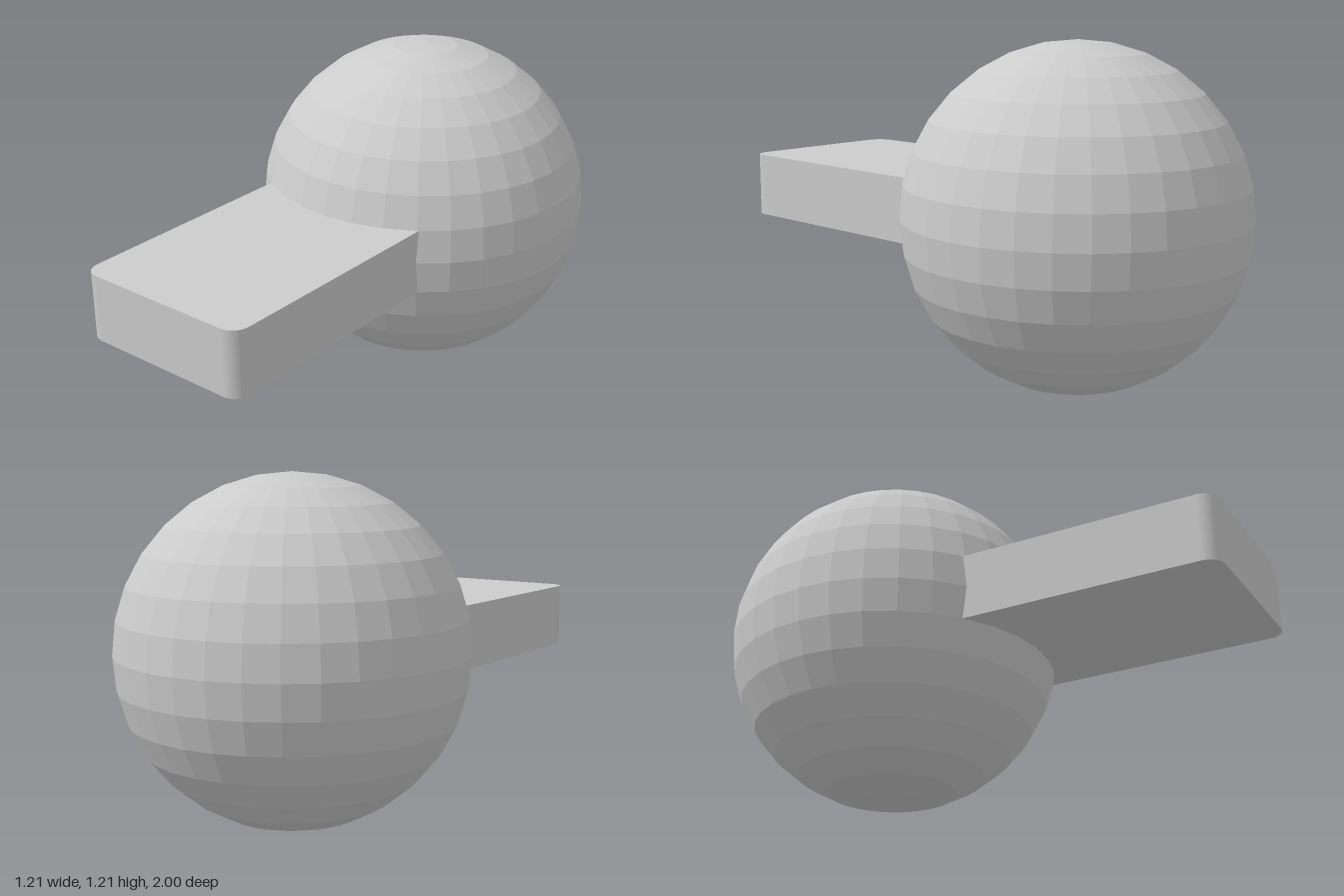
import * as THREE from 'three';

export function createModel() {
  const group = new THREE.Group();
  const material = new THREE.MeshStandardMaterial({ color: 0xcccccc, flatShading: true });

  // Faceted ball
  const ball = new THREE.Mesh(new THREE.SphereGeometry(0.605, 32, 16), material);
  ball.name = 'ball';
  ball.position.set(0, 0.609, -0.395);
  group.add(ball);

  // Flat bar outline: slightly tapered, with rounded corners at the free end
  const back = 0, front = 1, backHalf = 0.336, frontHalf = 0.331, r = 0.06;
  const outline = new THREE.Shape();
  outline.moveTo(-backHalf, back);
  outline.lineTo(backHalf, back);
  outline.lineTo(frontHalf, front - r);
  outline.absarc(frontHalf - r, front - r, r, 0, Math.PI / 2, false);
  outline.absarc(-frontHalf + r, front - r, r, Math.PI / 2, Math.PI, false);
  outline.closePath();

  // Bar lying flat, its rear end sunk into the ball
  const barGeometry = new THREE.ExtrudeGeometry(outline, {
    depth: 0.236, bevelEnabled: false, curveSegments: 8,
  });
  barGeometry.rotateX(Math.PI / 2);
  const bar = new THREE.Mesh(barGeometry, material);
  bar.name = 'bar';
  bar.position.y = 0.727;
  group.add(bar);

  return group;
}
